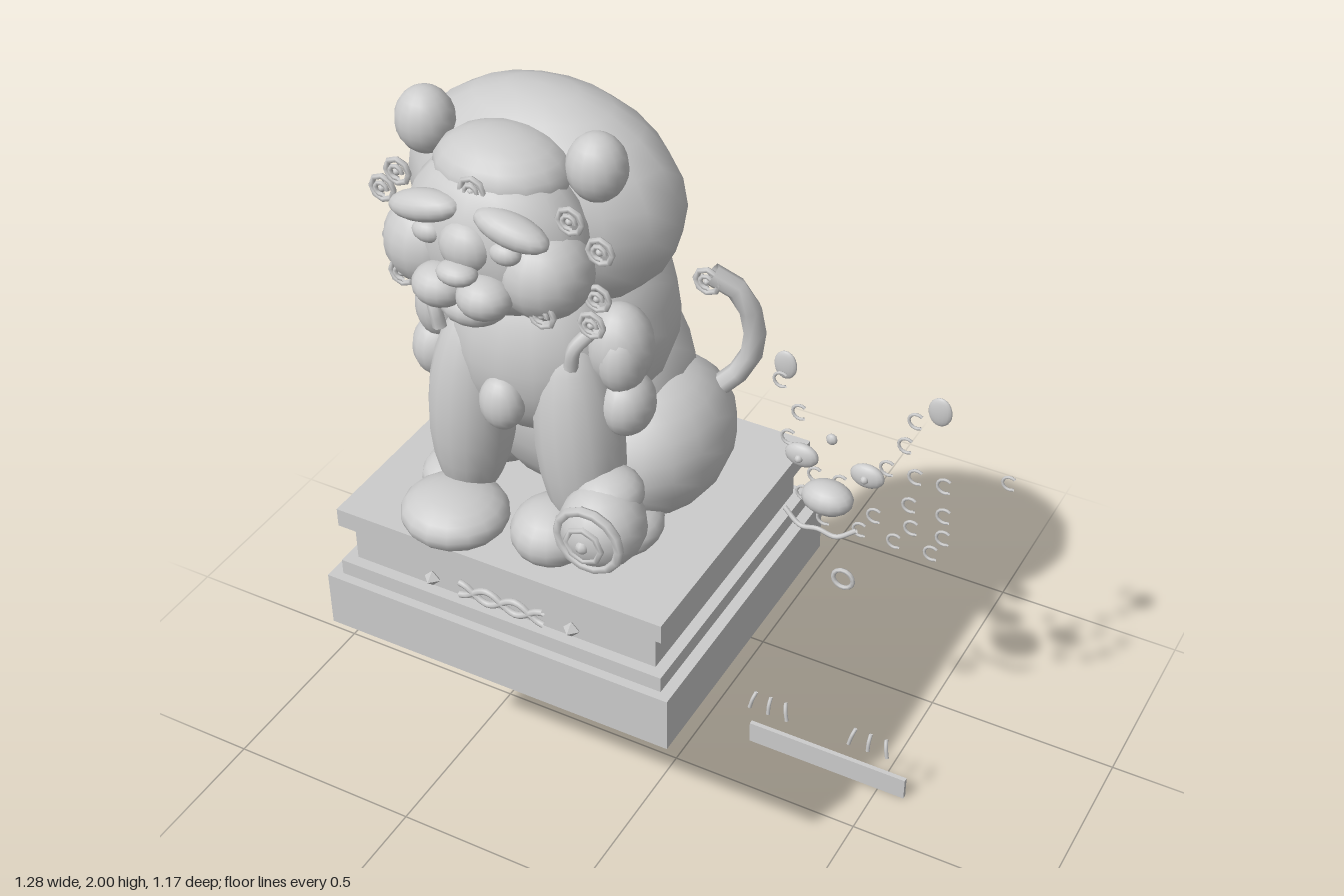
import * as THREE from 'three';

export function createModel() {
  const root = new THREE.Group();
  const mat = new THREE.MeshStandardMaterial({ color: 0xcccccc, side: THREE.DoubleSide });
  const CX = -0.2; // axis of the statue
  const CZ = 0.112; // depth centre of the plinth

  function add(name, geo, x = 0, y = 0, z = 0) {
    const m = new THREE.Mesh(geo, mat);
    m.name = name;
    m.position.set(x, y, z);
    root.add(m);
    return m;
  }
  function blob(name, x, y, z, rx, ry, rz, tilt = 0, pitch = 0, seg = 16) {
    const m = add(name, new THREE.SphereGeometry(1, seg, Math.round(seg * 0.75)), x, y, z);
    m.scale.set(rx, ry, rz);
    m.rotation.set(pitch, 0, tilt);
    return m;
  }
  function tube(name, pts, r, closed = false, n = 24) {
    const curve = new THREE.CatmullRomCurve3(pts.map(p => new THREE.Vector3(...p)), closed);
    return add(name, new THREE.TubeGeometry(curve, n, r, 7, closed));
  }
  function ring(name, x, y, z, r, t, arc = Math.PI * 2, seg = 14) {
    return add(name, new THREE.TorusGeometry(r, t, 6, seg, arc), x, y, z);
  }
  // Rosette: two nested rings around a bead
  function curl(name, x, y, z, r) {
    ring(name, x, y, z, r * 0.8, r * 0.2, Math.PI * 2, 8);
    ring(name + 'Inner', x, y, z + 0.005, r * 0.42, r * 0.16, Math.PI * 1.6, 7);
    blob(name + 'Bead', x, y, z, r * 0.25, r * 0.25, r * 0.3, 0, 0, 8);
  }

  // Stepped plinth: name, width, depth, bottom, top
  const tiers = [
    ['plinthBase', 0.895, 0.79, 0.602, 0.745],
    ['plinthLowerMoulding', 0.84, 0.745, 0.745, 0.785],
    ['plinthWaist', 0.785, 0.69, 0.785, 0.887],
    ['plinthTop', 0.84, 0.74, 0.887, 0.935],
  ];
  for (const [name, w, d, y0, y1] of tiers)
    add(name, new THREE.BoxGeometry(w, y1 - y0, d), CX, (y0 + y1) / 2, CZ);

  // Knot ornament on the plinth front
  for (const s of [-1, 1]) {
    const pts = [];
    for (let i = 0; i <= 12; i++) {
      const u = i / 12;
      pts.push([CX - 0.11 + 0.22 * u, 0.81 + s * 0.018 * Math.cos(u * Math.PI * 3), 0.462]);
    }
    tube('plinthKnot', pts, 0.008);
    add('plinthStud', new THREE.OctahedronGeometry(0.021), CX + s * 0.183, 0.81, 0.462);
  }

  // Torso
  blob('hips', CX, 1.2, 0.06, 0.26, 0.28, 0.24);
  blob('torso', CX, 1.42, 0.13, 0.25, 0.27, 0.25, 0, 0.15);
  blob('chest', CX, 1.42, 0.26, 0.2, 0.22, 0.16);
  blob('chestBell', CX, 1.34, 0.41, 0.052, 0.065, 0.045);

  // Limbs
  for (const s of [-1, 1]) {
    blob('haunch', CX + s * 0.2, 1.11, 0.08, 0.165, 0.178, 0.215);
    blob('hindPaw', CX + s * 0.22, 0.985, 0.27, 0.08, 0.052, 0.1);
    blob('frontLeg', CX + s * 0.135, 1.24, 0.32, 0.1, 0.27, 0.1, s * 0.08);
    blob('shoulder', CX + s * 0.21, 1.47, 0.27, 0.075, 0.1, 0.075);
    blob('shoulderTuft', CX + s * 0.225, 1.455, 0.285, 0.055, 0.085, 0.065);
    blob('lowerTuft', CX + s * 0.235, 1.34, 0.285, 0.06, 0.075, 0.07);
  }
  blob('rightFrontPaw', -0.335, 0.998, 0.42, 0.125, 0.065, 0.12);
  blob('leftFrontPaw', -0.105, 1.005, 0.38, 0.095, 0.075, 0.1);

  // Ball under the left paw
  blob('ball', 0.035, 1.09, 0.4, 0.097, 0.097, 0.097);
  ring('ballRing', 0.035, 1.09, 0.465, 0.075, 0.012);
  ring('ballInnerRing', 0.035, 1.09, 0.485, 0.042, 0.008, Math.PI * 2, 8);
  blob('ballBoss', 0.035, 1.09, 0.49, 0.016, 0.016, 0.016, 0, 0, 8);
  blob('ballPaw', 0.03, 1.145, 0.36, 0.075, 0.055, 0.08);

  // Head with mane
  blob('mane', CX, 1.755, 0.2, 0.315, 0.245, 0.205);
  blob('face', CX, 1.76, 0.385, 0.205, 0.185, 0.145);
  blob('forehead', CX, 1.89, 0.36, 0.15, 0.085, 0.12);
  blob('noseBridge', CX, 1.785, 0.505, 0.06, 0.055, 0.045);
  blob('nose', CX, 1.745, 0.545, 0.045, 0.025, 0.035);
  blob('chin', CX, 1.645, 0.49, 0.075, 0.045, 0.065);
  for (const s of [-1, 1]) {
    blob('ear', CX + s * 0.2, 1.93, 0.33, 0.064, 0.073, 0.062);
    blob('cheek', CX + s * 0.135, 1.725, 0.43, 0.1, 0.1, 0.1);
    blob('brow', CX + s * 0.1, 1.845, 0.495, 0.085, 0.033, 0.04, -s * 0.2);
    blob('eye', CX + s * 0.09, 1.795, 0.505, 0.035, 0.025, 0.025);
    blob('muzzle', CX + s * 0.052, 1.695, 0.53, 0.06, 0.046, 0.055);
    const curls = [[0.2, 1.865, 0.44], [0.255, 1.8, 0.42], [0.165, 1.67, 0.5],
      [0.24, 1.68, 0.41], [0.21, 1.59, 0.385]];
    for (const [x, y, z] of curls) curl('maneCurl', CX + s * x, y, z, 0.034);
    // Beard wisps
    tube('beardLock', [[CX + s * 0.2, 1.56, 0.36], [CX + s * 0.17, 1.52, 0.39],
      [CX + s * 0.16, 1.47, 0.39]], 0.016, false, 8);
  }
  curl('foreheadCurl', CX, 1.895, 0.475, 0.034);

  // Faceted tail with curled tip
  tube('tail', [[0.09, 1.2, -0.02], [0.15, 1.27, -0.045], [0.17, 1.37, -0.045],
    [0.145, 1.47, -0.025], [0.085, 1.515, 0]], 0.026, false, 6);
  curl('tailCurl', 0.08, 1.5, 0.01, 0.036);

  // Small loose face beside the plinth
  const FX = 0.355;
  blob('looseMuzzle', FX, 0.953, -0.065, 0.063, 0.04, 0.047);
  blob('looseBead', FX, 1.115, -0.072, 0.014, 0.014, 0.01, 0, 0, 8);
  tube('looseMouth', [[FX - 0.09, 0.915, -0.03], [FX - 0.045, 0.887, -0.02],
    [FX, 0.895, -0.018], [FX + 0.045, 0.887, -0.02], [FX + 0.09, 0.915, -0.03]], 0.006);
  ring('looseRing', FX, 0.615, -0.185, 0.026, 0.006);
  for (const s of [-1, 1]) {
    blob('looseEye', FX + s * 0.082, 1.025, -0.095, 0.042, 0.031, 0.018);
    blob('loosePupil', FX + s * 0.082, 1.025, -0.078, 0.01, 0.01, 0.01, 0, 0, 8);
    blob('looseEar', FX + s * 0.193, 1.155, -0.23, 0.029, 0.038, 0.01);
  }

  // Rows of loose open curls: y, z, then x positions
  const rows = [
    [1.165, -0.16, [0.185, 0.52]],
    [1.09, -0.16, [0.235, 0.5]],
    [1.01, -0.16, [0.21, 0.46, 0.53, 0.6]],
    [0.912, -0.175, [0.275, 0.34, 0.515, 0.6]],
    [0.815, -0.212, [0.23, 0.325, 0.415, 0.51, 0.59]],
    [0.725, -0.25, [0.27, 0.365, 0.455, 0.55]],
    [0.725, -0.585, [0.615]],
  ];
  for (const [y, z, xs] of rows)
    for (const x of xs)
      ring('looseCurl', x, y, z, 0.019, 0.004, Math.PI * 1.4, 10).rotation.z = 0.9;

  // Loose claws and strip below
  for (const s of [-1, 1])
    for (let i = -1; i <= 1; i++) {
      const x = FX + s * 0.137 + i * 0.046;
      tube('looseClaw', [[x + i * 0.006, 0.19, -0.08], [x, 0.218, -0.084],
        [x - i * 0.005, 0.235, -0.095]], 0.005, false, 6);
    }
  add('looseStrip', new THREE.BoxGeometry(0.435, 0.062, 0.012), 0.354, 0.031, -0.152);

  return root;
}
